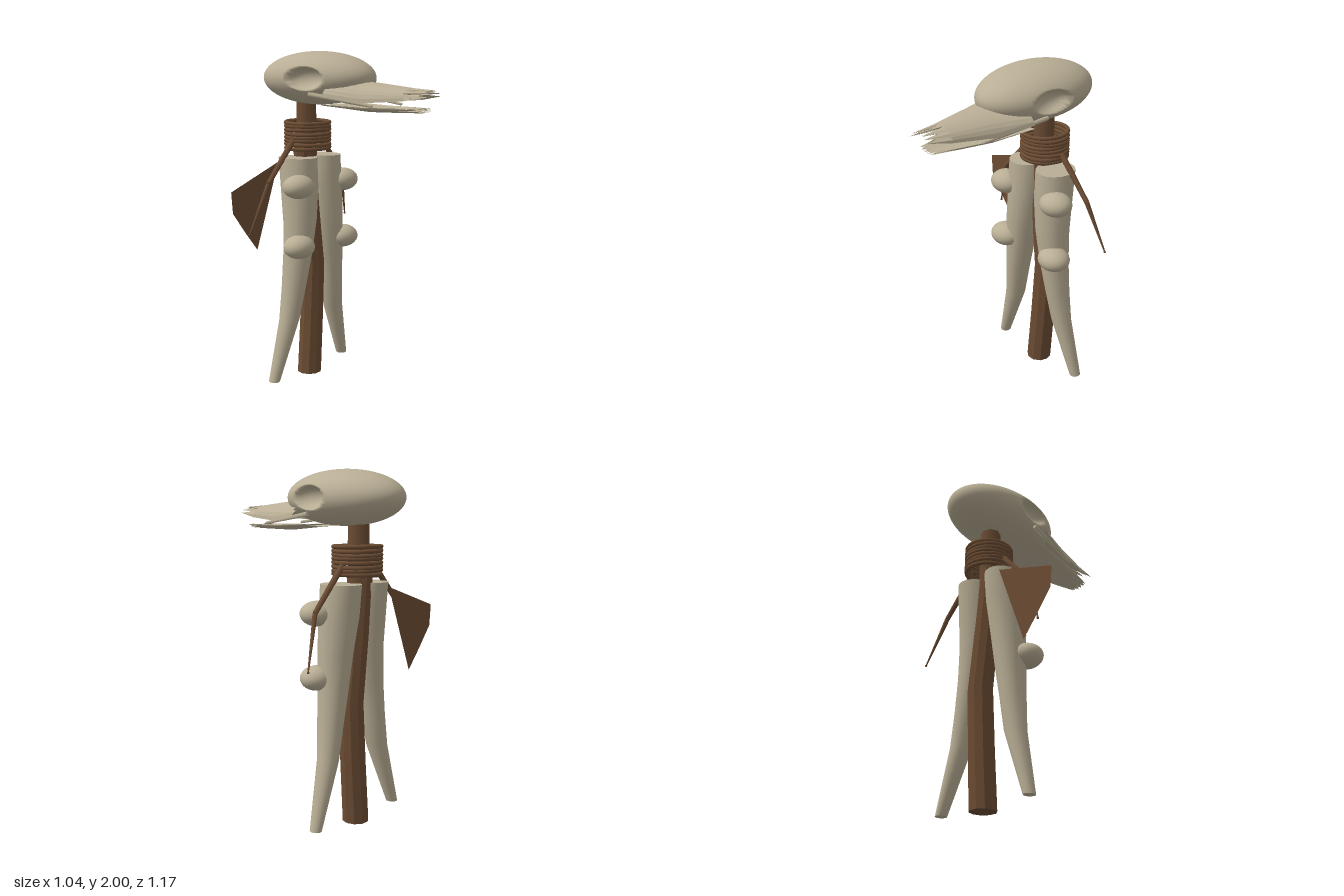
import * as THREE from 'three';
import { toCreasedNormals } from 'three/addons/utils/BufferGeometryUtils.js';

const CX = 0.055, CZ = -0.3; // body axis
const bone = new THREE.MeshStandardMaterial({ color: 0xb9ae95, side: THREE.DoubleSide });
const bark = new THREE.MeshStandardMaterial({ color: 0x6b4c33, side: THREE.DoubleSide });
const V = (x, y, z) => new THREE.Vector3(x, y, z);

// Surface through closed rings of equal length, with optional end caps
function loft(rings, capped, crease) {
  const n = rings[0].length, idx = [], pts = rings.flat();
  for (let r = 0; r < rings.length - 1; r++) {
    for (let i = 0; i < n; i++) {
      const a = r * n + i, b = r * n + (i + 1) % n;
      idx.push(a, b, b + n, a, b + n, a + n);
    }
  }
  if (capped) {
    [0, rings.length - 1].forEach((r) => {
      const c = pts.length;
      pts.push(rings[r].reduce((s, p) => s.add(p), V(0, 0, 0)).divideScalar(n));
      for (let i = 0; i < n; i++) {
        const a = r * n + i, b = r * n + (i + 1) % n;
        if (r === 0) idx.push(c, b, a); else idx.push(c, a, b);
      }
    });
  }
  const g = new THREE.BufferGeometry().setFromPoints(pts);
  g.setIndex(idx);
  return toCreasedNormals(g, crease);
}

// Horizontal elliptical ring
function ellipse(n, y, cx, cz, rx, rz) {
  return Array.from({ length: n }, (_, i) => {
    const a = (i / n) * Math.PI * 2;
    return V(cx + rx * Math.cos(a), y, cz + rz * Math.sin(a));
  });
}

// Arched beak section: outer arc one way, shallower inner arc back
function arch(z, w, rim, h, inner, jag = 0, n = 14) {
  return Array.from({ length: 2 * n }, (_, i) => {
    const a = (Math.PI * i) / n, s = Math.sin(a);
    return V(CX + w * Math.cos(a), rim + (s > 0 ? h * s : -inner * s), z - (i % 2 ? 0 : jag));
  });
}

// Tapered rod between two points
function rod(p, q, r1, r2, sides = 8) {
  const d = q.clone().sub(p);
  const g = new THREE.CylinderGeometry(r2, r1, d.length(), sides);
  g.applyQuaternion(new THREE.Quaternion().setFromUnitVectors(V(0, 1, 0), d.clone().normalize()));
  return g.translate((p.x + q.x) / 2, (p.y + q.y) / 2, (p.z + q.z) / 2);
}

// Egg-shaped skull with a scooped eye socket on each side
function skullGeometry() {
  const g = new THREE.SphereGeometry(1, 128, 80).rotateY(Math.PI / 2).scale(0.245, 0.155, 0.38);
  const p = g.attributes.position;
  for (let i = 0; i < p.count; i++) {
    const side = Math.sign(p.getX(i)), x = Math.abs(p.getX(i));
    const k = 1 - (p.getY(i) / 0.068) ** 2 - ((p.getZ(i) - 0.075) / 0.12) ** 2;
    if (k > 0) p.setX(i, side * Math.min(x, 0.235 - 0.075 * Math.sqrt(k)));
  }
  g.computeVertexNormals();
  return g.translate(CX, 1.845, -0.21);
}

export function createModel() {
  const model = new THREE.Group();
  const add = (name, geo, mat, parent = model) => {
    const m = new THREE.Mesh(geo, mat);
    m.name = name;
    parent.add(m);
    return m;
  };

  // Head
  const head = new THREE.Group();
  head.name = 'head';
  model.add(head);
  add('skull', skullGeometry(), bone, head);
  add('upperBeak', loft([
    arch(-0.01, 0.22, 1.745, 0.09, 0.05),
    arch(0.2, 0.165, 1.715, 0.11, 0.06),
    arch(0.44, 0.1, 1.73, 0.07, 0.045),
    arch(0.585, 0.07, 1.745, 0.045, 0.04, 0.12),
  ], false, 0.2), bone, head);
  add('lowerBeak', loft([
    arch(-0.06, 0.17, 1.7, -0.015, -0.002),
    arch(0.2, 0.14, 1.69, -0.03, -0.015),
    arch(0.4, 0.095, 1.69, -0.028, -0.014),
    arch(0.535, 0.06, 1.69, -0.025, -0.016, 0.05),
  ], false, 0.3), bone, head);

  // Spine post and neck
  add('spine', loft([
    [1.43, 0.025, 0.07], [1.1, 0.055, 0.07], [0.7, 0.1, 0.072], [0.35, 0.08, 0.074], [0, 0.055, 0.076],
  ].map(([y, x, r]) => ellipse(10, y, x, CZ, r, r)), true, 0.3), bark);
  add('neck', rod(V(CX - 0.01, 1.36, CZ), V(CX - 0.01, 1.76, CZ), 0.062, 0.058, 8), bark);

  // Stacked neck rings
  const rings = new THREE.Group();
  rings.name = 'neckRings';
  model.add(rings);
  for (let i = 0; i < 8; i++) {
    const ring = add('neckRing', new THREE.TorusGeometry(0.132, 0.012, 8, 32), bark, rings);
    ring.position.set(CX, 1.43 + i * 0.0215, CZ);
    ring.rotation.set(Math.PI / 2 + 0.025 * Math.sin(i * 2.1), 0.025 * Math.cos(i * 1.7), 0);
  }

  // Paired parts
  for (const s of [1, -1]) {
    const label = s > 0 ? 'left' : 'right';
    const at = (d, y, z) => V(CX + s * d, y, z);

    // Leg rows: height, inner and outer offset, back and front depth
    add(label + 'Leg', loft([
      [1.38, 0.005, 0.22, -0.405, -0.16], [1.2, 0.004, 0.225, -0.385, -0.155],
      [1.0, 0.03, 0.228, -0.36, -0.155], [0.8, 0.065, 0.235, -0.35, -0.17],
      [0.6, 0.11, 0.25, -0.345, -0.19], [0.4, 0.15, 0.275, -0.34, -0.217],
      [0.03, 0.3, 0.365, -0.335, -0.265],
    ].map(([y, a, b, z0, z1]) =>
      ellipse(16, y, CX + s * (a + b) / 2, (z0 + z1) / 2, (b - a) / 2, (z1 - z0) / 2)), true, 0.6), bone);

    // Round knobs on the front of the leg
    for (const y of [1.22, 0.86]) {
      add(label + 'Knob', new THREE.SphereGeometry(1, 32, 20).scale(0.1, 0.07, 0.09)
        .translate(CX + s * 0.212, y, -0.195), bone);
    }

    // Thin two-part arm with a tiny knob for a hand
    const shoulder = at(0.12, 1.49, -0.305), elbow = at(0.345, 1.245, -0.31), hand = at(0.455, 0.95, -0.365);
    add(label + 'UpperArm', rod(shoulder, elbow, 0.018, 0.014), bark);
    add(label + 'Forearm', rod(elbow, hand, 0.014, 0.004), bark);
    add(label + 'Hand', new THREE.SphereGeometry(0.007, 8, 6).translate(hand.x, hand.y, hand.z), bark);

    // Cheek strip along the beak
    add(label + 'Cheek', rod(at(0.205, 1.758, -0.12), at(0.145, 1.7, 0.28), 0.014, 0.008, 4), bone, head);
  }

  // Flat fan-shaped cape on one side
  const fan = new THREE.Shape([
    [-0.12, 1.35], [-0.52, 1.215], [-0.51, 1.09], [-0.41, 0.96], [-0.315, 0.845],
  ].map(([x, y]) => new THREE.Vector2(x, y)));
  add('cape', new THREE.ShapeGeometry(fan).translate(0, 0, -0.385), bark);

  return model;
}
